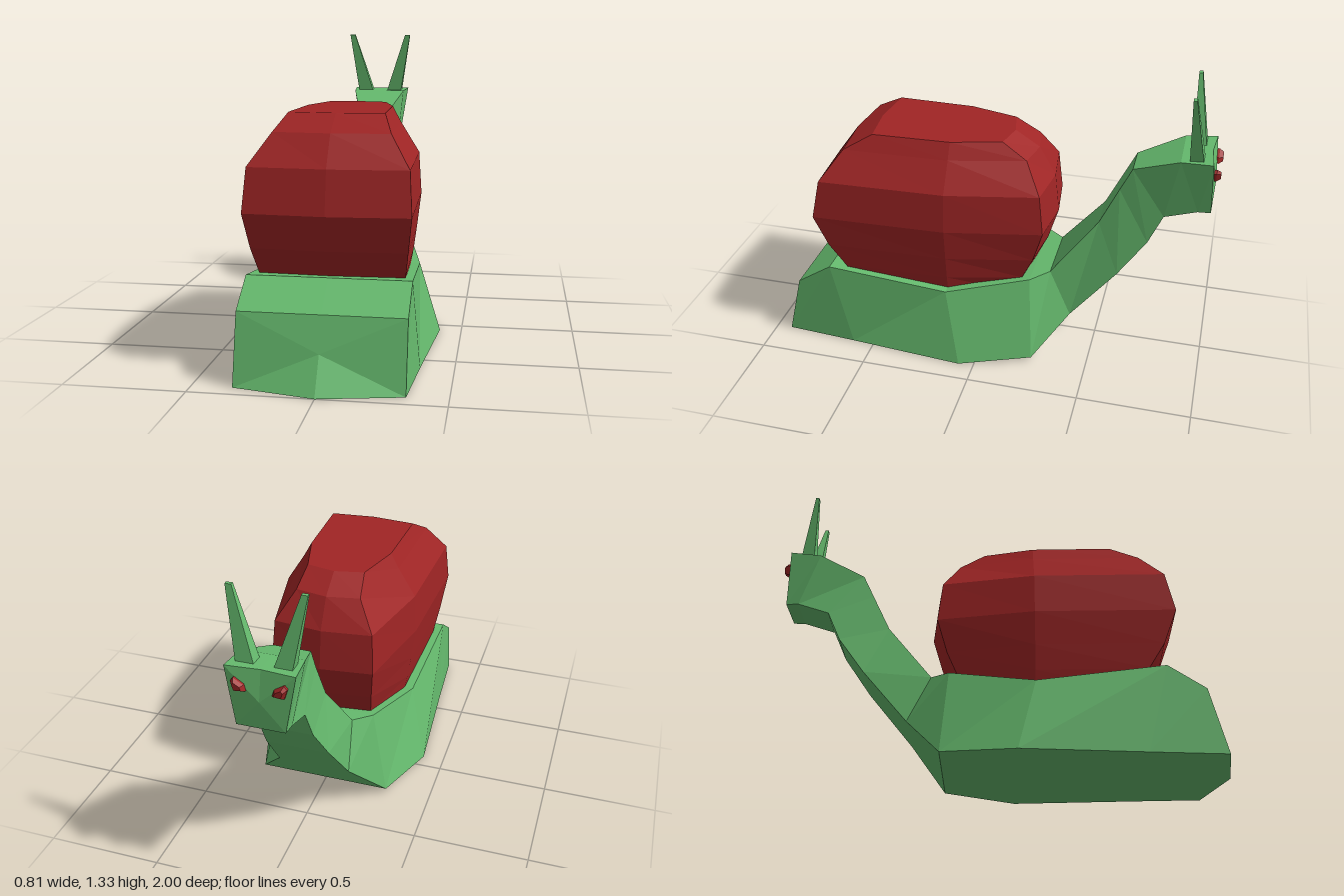
import * as THREE from 'three';

const green = new THREE.MeshStandardMaterial({ color: 0x66bb6e });
green.name = 'skin green';
const red = new THREE.MeshStandardMaterial({ color: 0xa02525 });
red.name = 'shell red';

// Faceted closed loft through rings of equal point count.
// Rings run counterclockwise as seen from the first end.
function loft(name, rings, material, endPoint) {
  const pos = [];
  const tri = (...pts) => pts.forEach((p) => pos.push(...p));
  const middle = (ring) => [0, 1, 2].map((k) => ring.reduce((s, p) => s + p[k], 0) / ring.length);
  const n = rings[0].length;
  const first = rings[0], last = rings[rings.length - 1];
  const c0 = middle(first), c1 = endPoint || middle(last);
  for (let j = 0; j < n; j++) {
    const k = (j + 1) % n;
    for (let i = 0; i < rings.length - 1; i++) {
      const a = rings[i][j], b = rings[i][k], c = rings[i + 1][k], d = rings[i + 1][j];
      tri(a, d, c);
      tri(a, c, b);
    }
    tri(c0, first[j], first[k]);
    tri(c1, last[k], last[j]);
  }
  const geometry = new THREE.BufferGeometry();
  geometry.setAttribute('position', new THREE.Float32BufferAttribute(pos, 3));
  geometry.computeVertexNormals();
  const mesh = new THREE.Mesh(geometry, material);
  mesh.name = name;
  return mesh;
}

// Body, neck and head, tail first:
// bottom half width, y, z; top half width, y, z; z shift of bottom and top centre
const bodySections = [
  [0.337, 0, 0.93, 0.337, 0.285, 0.86, 0.07, 0],
  [0.36, 0, 0.6, 0.337, 0.39, 0.7, 0, 0],
  [0.403, 0, 0.07, 0.315, 0.33, 0.15, 0, 0],
  [0.3, 0.02, -0.25, 0.225, 0.4, -0.22, 0, 0],
  [0.165, 0.2, -0.4, 0.15, 0.41, -0.3, 0, 0],
  [0.14, 0.44, -0.6, 0.095, 0.67, -0.5, 0, 0],
  [0.115, 0.61, -0.72, 0.082, 0.84, -0.58, 0, 0],
  [0.105, 0.745, -0.78, 0.08, 0.945, -0.63, 0, 0],
  [0.105, 0.79, -0.92, 0.13, 1.03, -0.83, 0, 0],
  [0.1, 0.79, -0.975, 0.142, 1.038, -0.965, 0, 0.012],
];

function bodyRing([bw, by, bz, tw, ty, tz, bShift, tShift]) {
  return [
    [-bw, by, bz], [0, by, bz + bShift], [bw, by, bz],
    [tw, ty, tz], [0, ty, tz + tShift], [-tw, ty, tz],
  ];
}

// Shell levels from the top: y, wide-end half width and z, narrow-end half width and z
const shellLevels = [
  [1.03, 0.2, 0.5, 0.13, -0.07],
  [0.96, 0.24, 0.625, 0.145, -0.18],
  [0.83, 0.325, 0.72, 0.222, -0.255],
  [0.65, 0.337, 0.757, 0.232, -0.275],
  [0.5, 0.318, 0.7, 0.215, -0.23],
  [0.39, 0.302, 0.63, 0.2, -0.18],
  [0.3, 0.285, 0.57, 0.185, -0.12],
];

function shellRing([y, w, zw, n, zn]) {
  const m = w * 0.945;
  return [
    [w, y, zw], [m, y, 0.15], [n, y, zn], [0, y, zn - 0.028],
    [-n, y, zn], [-m, y, 0.15], [-w, y, zw], [0, y, zw + 0.02],
  ];
}

// Rectangular ring for the feelers
function feelerRing(x, y, z, hx, hz) {
  return [[x + hx, y, z + hz], [x + hx, y, z - hz], [x - hx, y, z - hz], [x - hx, y, z + hz]];
}

export function createModel() {
  const group = new THREE.Group();
  group.name = 'snail';
  group.add(loft('body', bodySections.map(bodyRing), green, [0, 0.91, -0.98]));
  group.add(loft('shell', shellLevels.map(shellRing), red));

  // Slanted eye outline: outer end high, inner end low
  const eyeOutline = [[0.052, 0.95], [0.1, 0.945], [0.112, 0.985], [0.1, 1.0], [0.06, 0.975]];
  for (const s of [-1, 1]) {
    const side = s > 0 ? 'left' : 'right';
    group.add(loft(side + 'Feeler', [
      feelerRing(s * 0.147, 1.325, -0.863, 0.013, 0.008),
      feelerRing(s * 0.073, 1.02, -0.895, 0.038, 0.03),
    ], green));

    const outline = s > 0 ? eyeOutline : [...eyeOutline].reverse();
    const eyeRing = (z, k) => outline.map(([x, y]) => [s * (0.082 + (x - 0.082) * k), 0.972 + (y - 0.972) * k, z]);
    group.add(loft(side + 'Eye', [eyeRing(-0.955, 1), eyeRing(-0.98, 1), eyeRing(-0.998, 0.6)], red));
  }
  return group;
}
